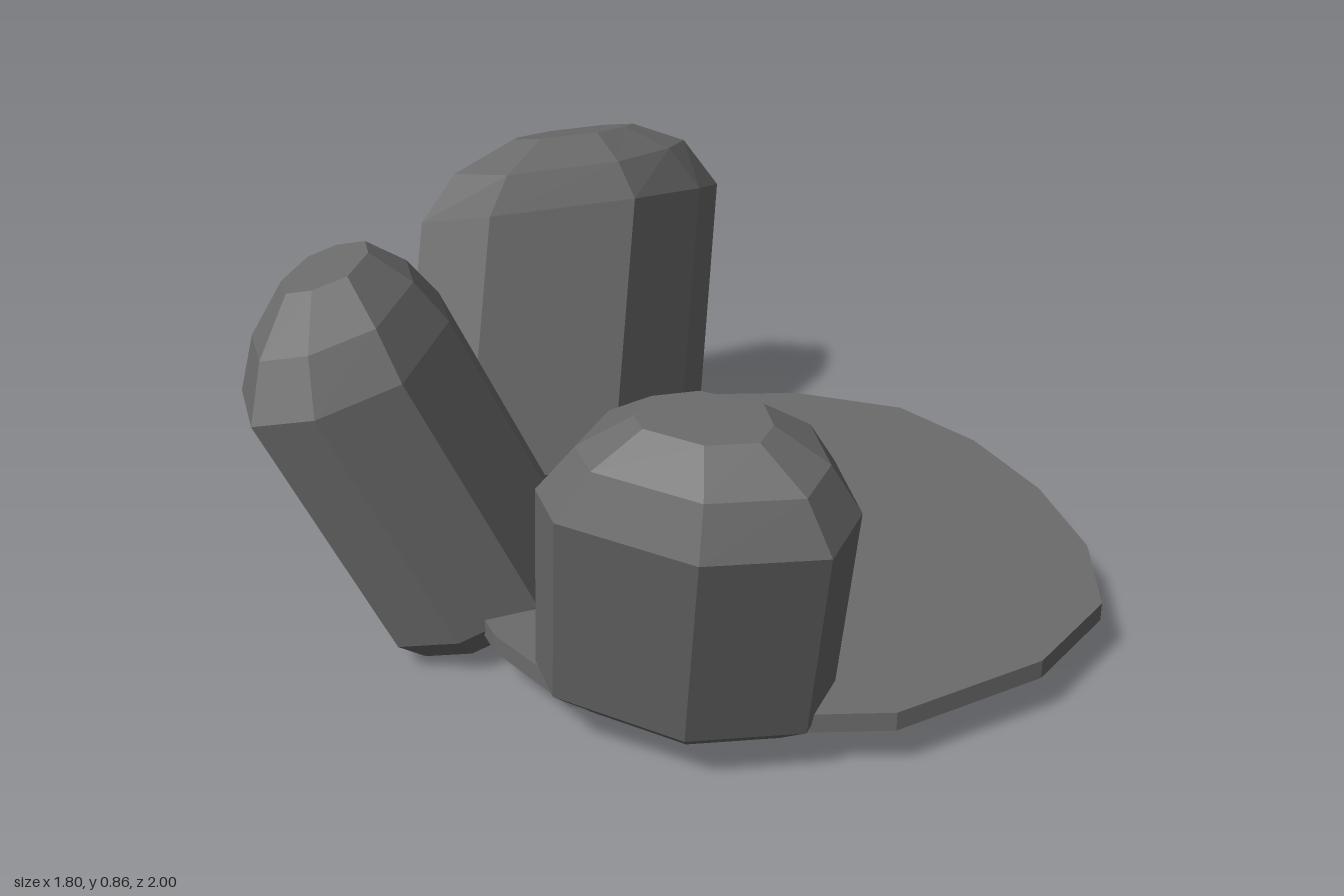
import * as THREE from 'three';

const material = new THREE.MeshStandardMaterial({ color: 0x6b6b6b, flatShading: true });

// Closed faceted solid from rings listed bottom to top, each running anticlockwise from above
function loft(rings) {
  const pos = [];
  const tri = (a, b, c) => pos.push(...a, ...b, ...c);
  const n = rings[0].length;
  for (let r = 0; r < rings.length - 1; r++) {
    for (let i = 0; i < n; i++) {
      const j = (i + 1) % n, low = rings[r], up = rings[r + 1];
      tri(low[i], low[j], up[j]);
      tri(low[i], up[j], up[i]);
    }
  }
  const bottom = rings[0], top = rings[rings.length - 1];
  for (let i = 1; i < n - 1; i++) {
    tri(bottom[0], bottom[i + 1], bottom[i]);
    tri(top[0], top[i], top[i + 1]);
  }
  const geometry = new THREE.BufferGeometry();
  geometry.setAttribute('position', new THREE.Float32BufferAttribute(pos, 3));
  geometry.computeVertexNormals();
  return geometry;
}

// Leaning stone: one outline (x, z) repeated at several centres and scales,
// lying in a plane that rises by slope [per x, per z], flattened by each level's tilt
function stone(name, { outline, slope, centre, levels }) {
  const rings = levels.map(([cx, cy, cz, s, tilt = 1]) => outline.map(([x, z]) => {
    const dx = (x - centre[0]) * s, dz = (z - centre[1]) * s;
    return [cx + dx, cy + (dx * slope[0] + dz * slope[1]) * tilt, cz + dz];
  }));
  const mesh = new THREE.Mesh(loft(rings), material);
  mesh.name = name;
  return mesh;
}

// Levels: bevelled underside, foot, shoulder, dome, flat crown
const stones = {
  sideStone: {
    outline: [[-0.905, 0.235], [-0.79, 0.305], [-0.615, 0.28], [-0.48, 0.06],
      [-0.47, -0.11], [-0.6, -0.19], [-0.75, -0.16], [-0.905, 0.045]],
    slope: [0.25, 0],
    centre: [-0.69, 0.06],
    levels: [[-0.42, 0.048, 0.06, 0.78], [-0.435, 0.115, 0.06, 1], [-0.69, 0.65, 0.06, 1],
      [-0.71, 0.755, 0.06, 0.77], [-0.72, 0.842, 0.05, 0.41]],
  },
  frontStone: {
    outline: [[-0.23, 0.96], [0, 0.995], [0.105, 0.87], [0.125, 0.68],
      [-0.105, 0.505], [-0.32, 0.5], [-0.44, 0.645], [-0.435, 0.765]],
    slope: [0, -0.09],
    centre: [-0.155, 0.745],
    levels: [[-0.125, 0.076, 0.58, 0.78], [-0.13, 0.127, 0.59, 1], [-0.155, 0.582, 0.745, 1],
      [-0.155, 0.68, 0.765, 0.77], [-0.155, 0.743, 0.76, 0.42]],
  },
  backStone: {
    outline: [[-0.28, -0.475], [0.085, -0.53], [0.31, -0.725], [0.41, -0.885],
      [0.24, -1], [-0.115, -0.935], [-0.37, -0.72], [-0.415, -0.625]],
    slope: [0.03, 0.3],
    centre: [0, -0.74],
    levels: [[-0.12, 0.055, -0.485, 0.78], [-0.13, 0.107, -0.48, 1], [0, 0.67, -0.74, 1],
      [-0.005, 0.785, -0.75, 0.77, 0.55], [0, 0.845, -0.765, 0.4, 0.65]],
  },
};

// Thin sixteen-sided slab, one quarter of the outline mirrored all round
function slab() {
  const quarter = [[0.7, 0], [0.67, 0.29], [0.575, 0.53], [0.35, 0.7]];
  const outline = [];
  for (const sign of [1, -1]) {
    quarter.forEach(([x, z]) => outline.push([x * sign, -z * sign]));
    outline.push([0, -0.79 * sign]);
    quarter.slice(1).reverse().forEach(([x, z]) => outline.push([-x * sign, -z * sign]));
  }
  const ring = (y) => outline.map(([x, z]) => [0.2 + x, y, 0.07 + z]);
  const mesh = new THREE.Mesh(loft([ring(0.09), ring(0.13)]), material);
  mesh.name = 'floorSlab';
  return mesh;
}

export function createModel() {
  const group = new THREE.Group();
  group.name = 'stoneSetting';
  group.add(slab());
  for (const [name, shape] of Object.entries(stones)) group.add(stone(name, shape));
  return group;
}
